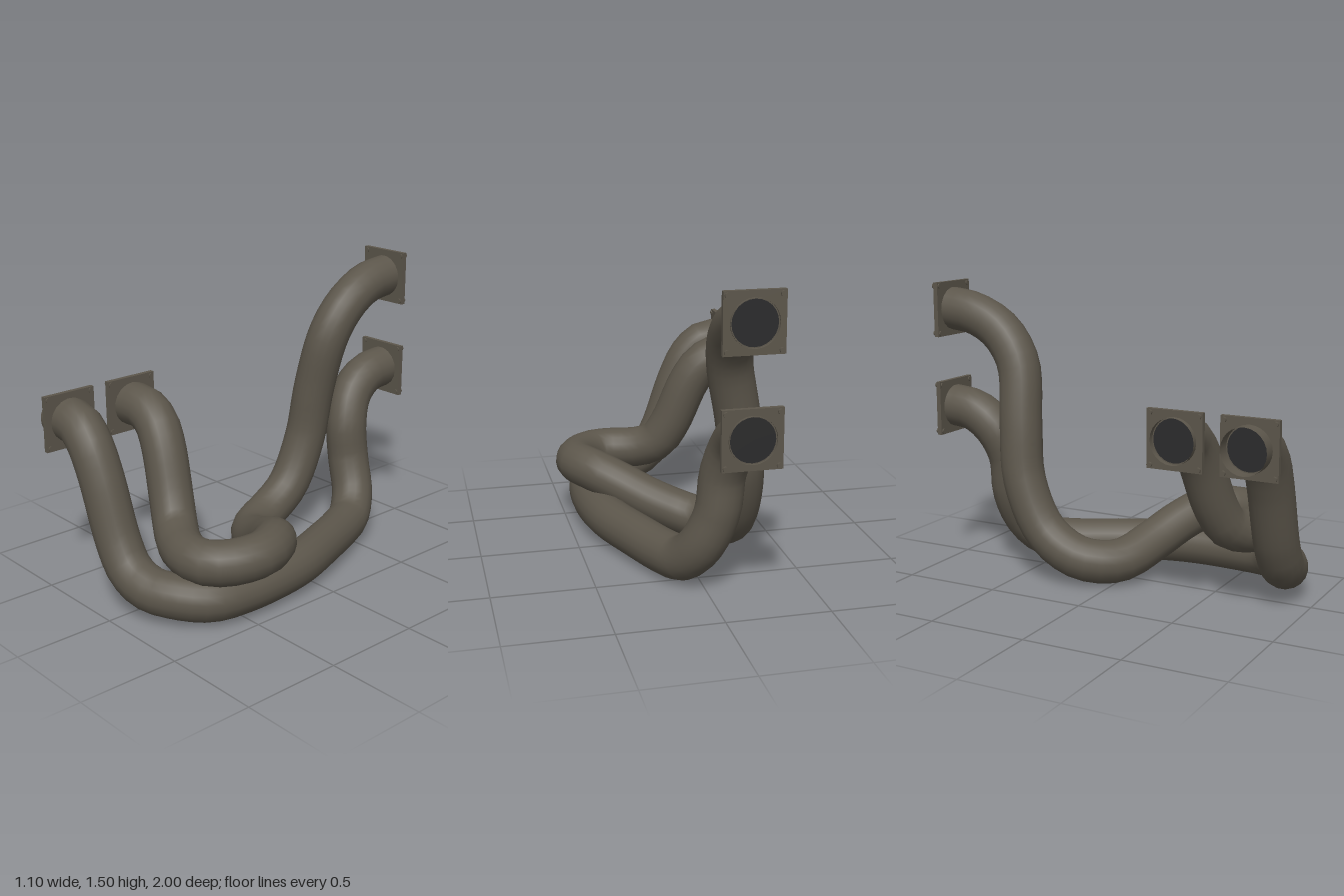
import * as THREE from 'three';

const R = 0.11; // pipe radius

export function createModel() {
  const group = new THREE.Group();
  const steel = new THREE.MeshStandardMaterial({ color: 0x5c564b, side: THREE.DoubleSide });
  steel.name = 'dark steel';
  const bore = new THREE.MeshStandardMaterial({ color: 0x2b2b2c, side: THREE.DoubleSide });
  bore.name = 'dark bore';

  const add = (parent, name, geometry, material, x = 0, y = 0, z = 0) => {
    const mesh = new THREE.Mesh(geometry, material);
    mesh.name = name;
    mesh.position.set(x, y, z);
    parent.add(mesh);
    return mesh;
  };

  // Bent pipes, each swept along a smooth path
  const pipe = (name, points) => {
    const path = new THREE.CatmullRomCurve3(points.map(p => new THREE.Vector3(...p)), false, 'centripetal');
    add(group, name, new THREE.TubeGeometry(path, 64, R, 18), steel);
  };

  pipe('upperPipe', [
    [-0.115, 1.365, -0.98], [-0.115, 1.345, -0.84], [-0.11, 1.285, -0.71], [-0.115, 1.2, -0.62],
    [-0.13, 1.08, -0.555], [-0.185, 0.8, -0.515], [-0.215, 0.52, -0.48], [-0.22, 0.27, -0.36],
    [-0.215, 0.16, -0.2], [-0.18, 0.13, -0.08], [-0.09, 0.13, 0.02], [0.1, 0.2, 0.11],
    [0.25, 0.275, 0.19], [0.37, 0.325, 0.28], [0.438, 0.33, 0.42], [0.4, 0.32, 0.57],
    [0.31, 0.315, 0.66], [0.2, 0.315, 0.67], [0.07, 0.325, 0.625], [-0.03, 0.37, 0.57],
    [-0.1, 0.48, 0.535], [-0.2, 0.72, 0.5], [-0.27, 0.82, 0.487], [-0.36, 0.867, 0.485], [-0.475, 0.87, 0.49],
  ]);
  pipe('lowerPipe', [
    [-0.115, 0.85, -0.98], [-0.115, 0.83, -0.84], [-0.105, 0.745, -0.725], [-0.075, 0.6, -0.66],
    [-0.05, 0.4, -0.655], [0.02, 0.23, -0.62], [0.085, 0.135, -0.53], [0.14, 0.12, -0.41],
    [0.24, 0.125, -0.17], [0.325, 0.13, 0.06], [0.357, 0.13, 0.25], [0.36, 0.127, 0.48],
    [0.33, 0.13, 0.65], [0.22, 0.145, 0.77], [0.1, 0.16, 0.83], [-0.02, 0.215, 0.85],
    [-0.1, 0.33, 0.855], [-0.22, 0.65, 0.862], [-0.29, 0.785, 0.865], [-0.375, 0.86, 0.862], [-0.475, 0.87, 0.86],
  ]);

  // Square plate with a round hole
  const half = 0.14;
  const plate = new THREE.Shape();
  plate.moveTo(-half, -half);
  plate.lineTo(half, -half);
  plate.lineTo(half, half);
  plate.lineTo(-half, half);
  plate.closePath();
  const hole = new THREE.Path();
  hole.absarc(0, 0, 0.1, 0, Math.PI * 2, true);
  plate.holes.push(hole);
  const plateGeometry = new THREE.ExtrudeGeometry(plate, { depth: 0.024, bevelEnabled: false, curveSegments: 18 });
  const boltGeometry = new THREE.CylinderGeometry(0.013, 0.013, 0.042, 8).rotateX(Math.PI / 2);

  // Flange: its plate starts at local z = 0 and the pipe opens toward local +z
  const flange = (name, position, turn, lip) => {
    const part = new THREE.Group();
    part.name = name;
    part.position.set(...position);
    part.rotation.y = turn;
    group.add(part);
    add(part, 'flangePlate', plateGeometry, steel);
    add(part, 'pipeOpening', new THREE.CircleGeometry(0.104, 24), bore, 0, 0, 0.026);
    const lipGeometry = new THREE.CylinderGeometry(R, R, lip, 24, 1, true).rotateX(Math.PI / 2);
    add(part, 'openLip', lipGeometry, steel, 0, 0, 0.024 + lip / 2);
    for (const x of [-1, 1]) for (const y of [-1, 1]) {
      add(part, 'bolt', boltGeometry, steel, x * 0.122, y * 0.122, 0.015);
    }
  };

  flange('upperBackFlange', [-0.115, 1.365, -0.964], Math.PI, 0.01);
  flange('lowerBackFlange', [-0.115, 0.85, -0.964], Math.PI, 0.01);
  flange('innerSideFlange', [-0.457, 0.87, 0.495], -Math.PI / 2, 0.028);
  flange('outerSideFlange', [-0.457, 0.87, 0.86], -Math.PI / 2, 0.069);

  return group;
}
